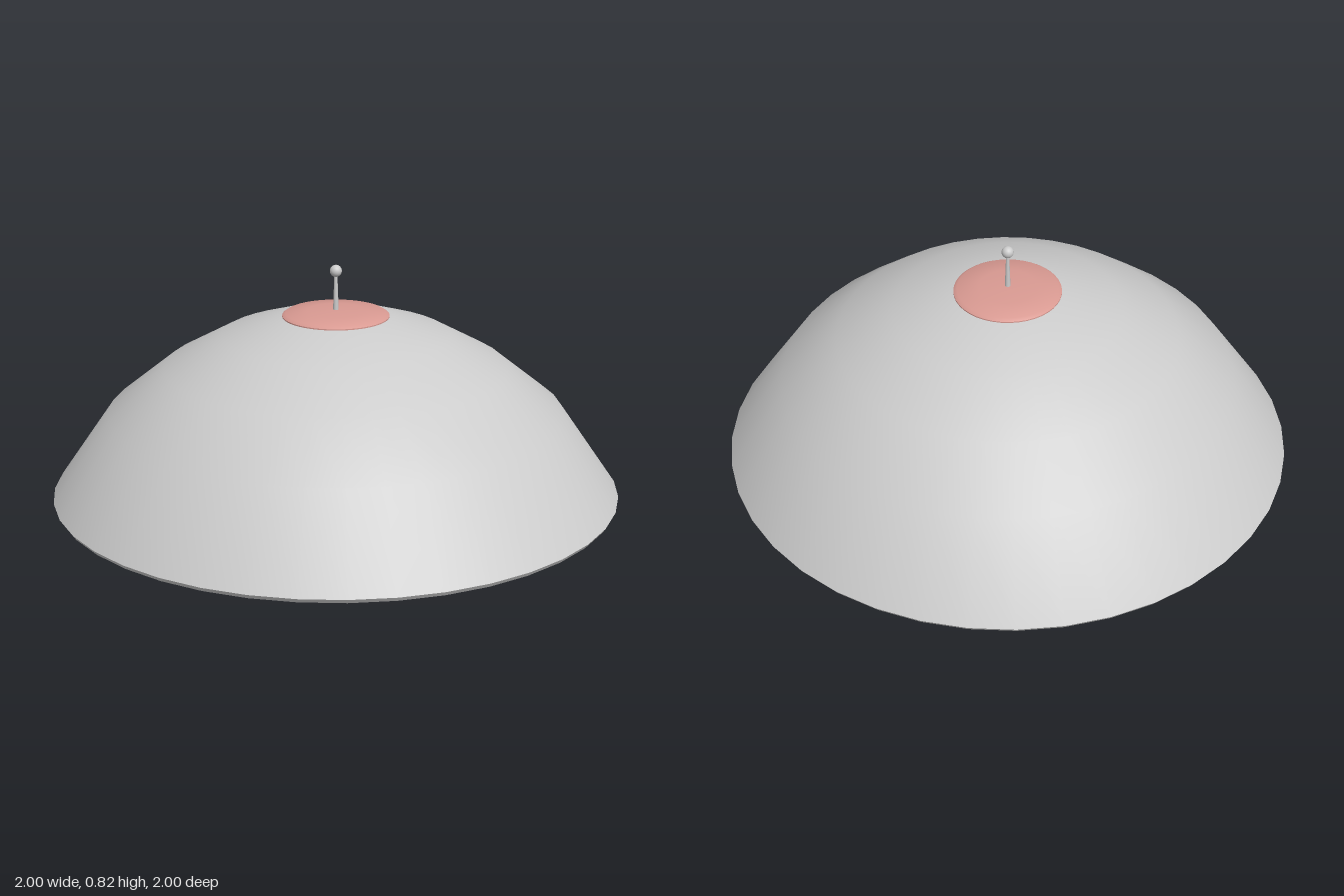
import * as THREE from 'three';
import { toCreasedNormals } from 'three/addons/utils/BufferGeometryUtils.js';

const SEGMENTS = 40;

// Closed round body turned from [radius, height] pairs, listed bottom to top
function turned(profile, crease) {
  const points = profile.map(([r, y]) => new THREE.Vector2(r, y));
  return toCreasedNormals(new THREE.LatheGeometry(points, SEGMENTS), crease);
}

export function createModel() {
  const group = new THREE.Group();
  const grey = new THREE.MeshStandardMaterial({ color: 0xcccccc });
  const pink = new THREE.MeshStandardMaterial({ color: 0xd99a92 });

  const add = (name, geometry, material, y = 0) => {
    const mesh = new THREE.Mesh(geometry, material);
    mesh.name = name;
    mesh.position.y = y;
    group.add(mesh);
  };

  // Domed shell with a thin rim and a flat underside
  add('dome', turned([
    [0, 0], [0.99, 0], [1, 0.015], [0.8, 0.305], [0.6, 0.465],
    [0.4, 0.575], [0.2, 0.64], [0, 0.655],
  ], 0.7), grey);

  // Shallow coloured disc on the crown
  add('crownCap', turned([
    [0, 0.635], [0.187, 0.635], [0.187, 0.645], [0.175, 0.653],
    [0.1, 0.66], [0, 0.665],
  ], 0.7), pink);

  // Tapered rod topped by a small ball
  add('rod', new THREE.CylinderGeometry(0.005, 0.01, 0.14, 12), grey, 0.73);
  add('rodBall', new THREE.SphereGeometry(0.021, 20, 14), grey, 0.802);

  return group;
}
